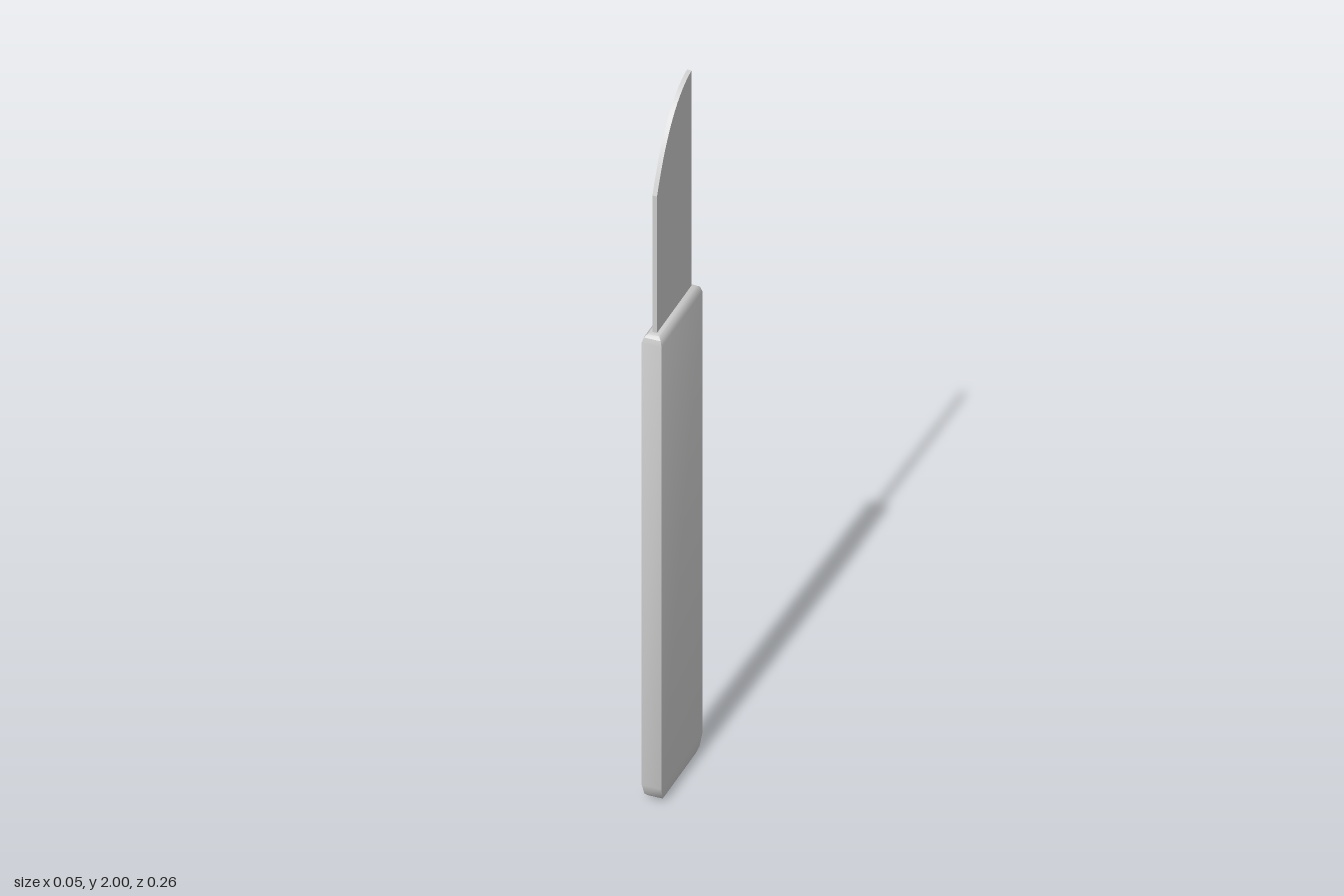
import * as THREE from 'three';
import { toCreasedNormals } from 'three/addons/utils/BufferGeometryUtils.js';

// Loft of rectangular cross-sections, each [y, half width in x, half depth in z]
function rectLoft(rings) {
  const pos = [], index = [];
  for (const [y, hx, hz] of rings) {
    pos.push(hx, y, hz, hx, y, -hz, -hx, y, -hz, -hx, y, hz);
  }
  for (let i = 0; i < rings.length - 1; i++) {
    for (let j = 0; j < 4; j++) {
      const a = i * 4 + j, b = i * 4 + (j + 1) % 4;
      index.push(a, b, b + 4, a, b + 4, a + 4);
    }
  }
  const t = (rings.length - 1) * 4;
  index.push(0, 2, 1, 0, 3, 2, t, t + 1, t + 2, t, t + 2, t + 3);
  const g = new THREE.BufferGeometry();
  g.setAttribute('position', new THREE.Float32BufferAttribute(pos, 3));
  g.setIndex(index);
  return toCreasedNormals(g, 0.55);
}

export function createModel() {
  const group = new THREE.Group();
  group.name = 'knife';
  const material = new THREE.MeshStandardMaterial({ color: 0xcccccc });

  // Handle: flat bar with a rounded butt and a bevelled shoulder
  const handle = new THREE.Mesh(rectLoft([
    [0, 0.014, 0.09],
    [0.005, 0.019, 0.105],
    [0.017, 0.023, 0.119],
    [0.05, 0.026, 0.13],
    [1.345, 0.026, 0.13],
    [1.36, 0.022, 0.126],
    [1.367, 0.015, 0.118],
    [1.37, 0.007, 0.111],
  ]), material);
  handle.name = 'handle';
  group.add(handle);

  // Blade: thin plate with a straight back and a curved tip, drawn in (z, y)
  const thickness = 0.012;
  const outline = new THREE.Shape();
  outline.moveTo(-0.11, 1.35);
  outline.lineTo(0.11, 1.35);
  outline.lineTo(0.11, 1.77);
  outline.quadraticCurveTo(0.025, 1.98, -0.11, 2);
  outline.closePath();
  const bladeGeometry = new THREE.ExtrudeGeometry(outline, {
    depth: thickness, bevelEnabled: false, curveSegments: 14,
  });
  bladeGeometry.translate(0, 0, -thickness / 2);
  bladeGeometry.rotateY(-Math.PI / 2);
  const blade = new THREE.Mesh(toCreasedNormals(bladeGeometry, 0.4), material);
  blade.name = 'blade';
  group.add(blade);

  return group;
}
